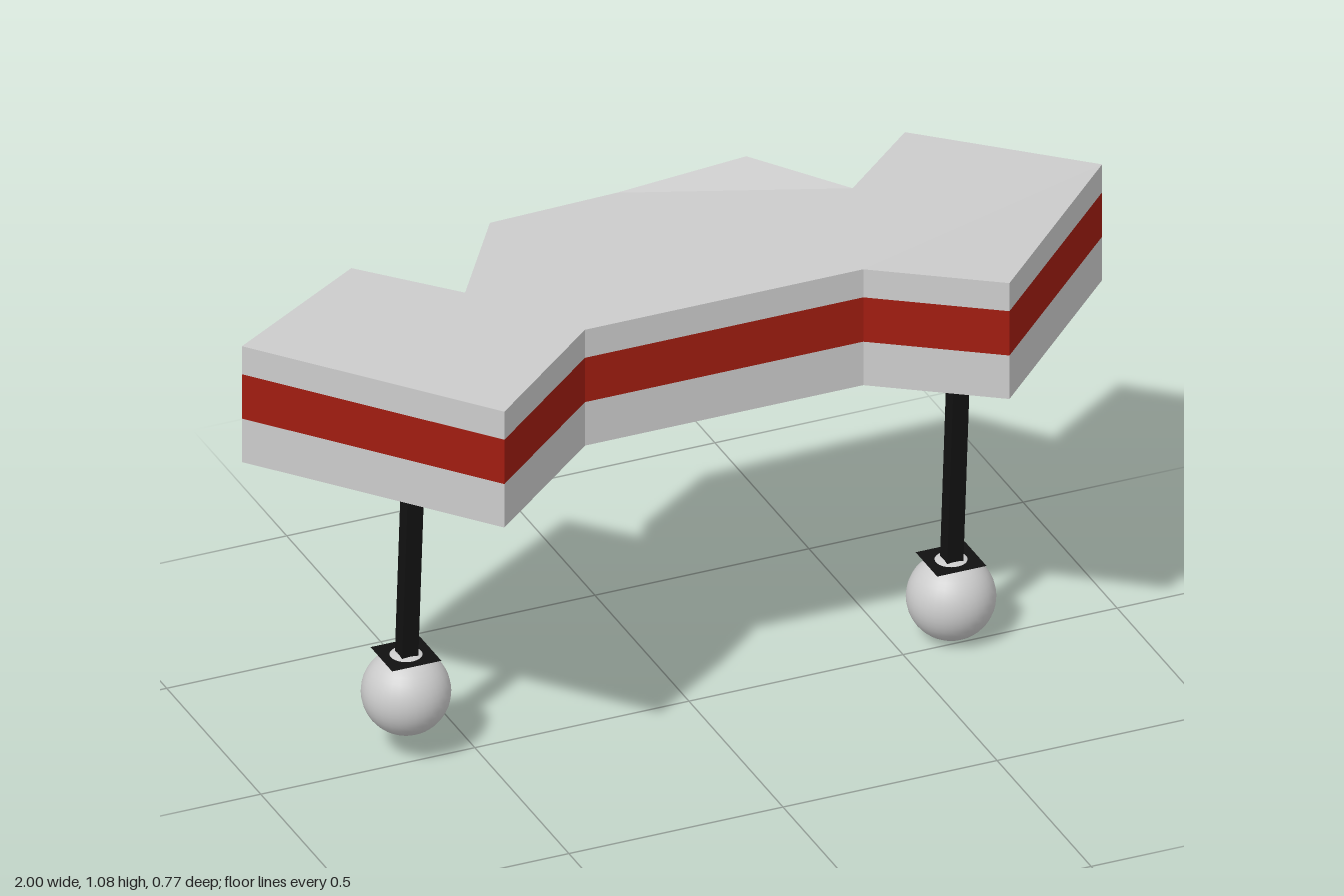
import * as THREE from 'three';

// Canopy outline seen from above: x, z, lift of that corner above the normal level
const OUTLINE = [
  [-1, -0.1, 0], [-0.6, 0.385, 0], [-0.3, 0.13, 0], [0.35, 0.13, 0], [0.6, 0.338, 0.017],
  [1, -0.08, 0], [0.67, -0.377, 0], [0.47, -0.2, 0], [0.3, -0.378, 0.025], [0, -0.385, 0],
  [-0.3, -0.375, 0], [-0.47, -0.12, 0], [-0.65, -0.315, 0],
];
const BOTTOM = 0.765, RED_LOW = 0.872, RED_HIGH = 0.981, TOP = 1.05;
const NOTCH_WALL = 7; // wall whose stripe flares towards the notch

const material = (color) => new THREE.MeshStandardMaterial({ color, side: THREE.DoubleSide, flatShading: true });
const grey = material(0xcccccc);
const red = material(0xa01c10);
const green = material(0x006400);
const black = material(0x111111);
const lime = material(0xa3b368);

function named(name, geometry, mat) {
  const mesh = new THREE.Mesh(geometry, mat);
  mesh.name = name;
  return mesh;
}

function fromPoints(points) {
  const geometry = new THREE.BufferGeometry();
  geometry.setAttribute('position', new THREE.Float32BufferAttribute(points, 3));
  geometry.computeVertexNormals();
  return geometry;
}

// Stripe of wall between two levels all round the outline
function band(low, high) {
  const points = [];
  OUTLINE.forEach(([ax, az, al], i) => {
    const [bx, bz, bl] = OUTLINE[(i + 1) % OUTLINE.length];
    const level = (y) => (i === NOTCH_WALL && y === RED_LOW ? 0.79 : y);
    const a0 = [ax, level(low) + al, az], a1 = [ax, level(high) + al, az];
    const b0 = [bx, low + bl, bz], b1 = [bx, high + bl, bz];
    points.push(...a0, ...b0, ...b1, ...a0, ...b1, ...a1);
  });
  return fromPoints(points);
}

// Flat sheet filling the outline at one level
function sheet(y) {
  const contour = OUTLINE.map(([x, z]) => new THREE.Vector2(x, -z));
  const points = [];
  for (const face of THREE.ShapeUtils.triangulateShape(contour, [])) {
    for (const i of face) points.push(OUTLINE[i][0], y + OUTLINE[i][2], OUTLINE[i][1]);
  }
  return fromPoints(points);
}

// Slightly leaning square post on a ball with a thin square plate
function support(name, topX, footX, ballY) {
  const group = new THREE.Group();
  group.name = name;
  const radius = 0.097, topZ = -0.02, footZ = -0.034;
  const footY = ballY + 0.07;

  const post = new THREE.BoxGeometry(0.038, 1, 0.038);
  const p = post.attributes.position;
  for (let i = 0; i < p.count; i++) {
    const t = p.getY(i) + 0.5;
    p.setXYZ(i, p.getX(i) + THREE.MathUtils.lerp(footX, topX, t),
      THREE.MathUtils.lerp(footY, RED_LOW, t), p.getZ(i) + THREE.MathUtils.lerp(footZ, topZ, t));
  }
  post.computeVertexNormals();
  group.add(named('post', post, black));

  const ball = named('ballFoot', new THREE.SphereGeometry(radius, 32, 20),
    new THREE.MeshStandardMaterial({ color: 0xcccccc }));
  ball.position.set(footX, ballY, -0.036);
  group.add(ball);

  const plate = named('footPlate', new THREE.PlaneGeometry(0.115, 0.115).rotateX(-Math.PI / 2), black);
  plate.position.set(footX, ballY + 0.09, -0.036);
  group.add(plate);
  return group;
}

export function createModel() {
  const model = new THREE.Group();
  model.name = 'canopy';

  // Roof shell: three wall stripes, the roof and a recessed ceiling
  model.add(
    named('lowerWall', band(BOTTOM, RED_LOW), grey),
    named('redStripe', band(RED_LOW, RED_HIGH), red),
    named('upperWall', band(RED_HIGH, TOP), grey),
    named('roof', sheet(TOP), grey),
    named('ceiling', sheet(RED_LOW), green),
  );

  // Small panel on the back wall
  const panel = named('backPanel', new THREE.PlaneGeometry(0.2, 0.075).rotateY(Math.PI), lime);
  panel.position.set(0.11, 0.835, -0.386);
  panel.rotation.y = -0.023;
  model.add(panel);

  model.add(support('rightSupport', -0.63, -0.645, 0.155), support('leftSupport', 0.645, 0.628, 0.097));
  return model;
}
